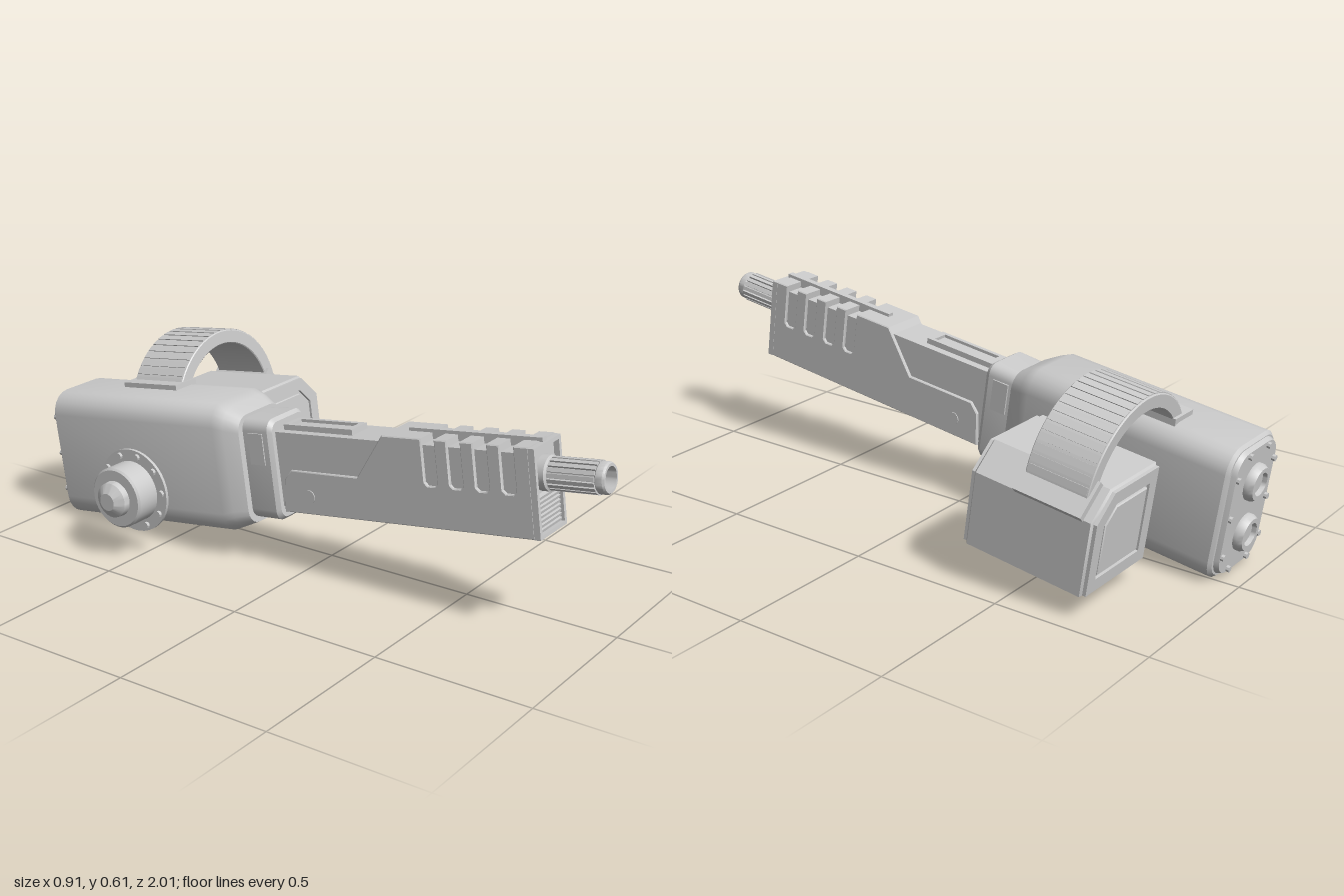
import * as THREE from 'three';
import { toCreasedNormals } from 'three/addons/utils/BufferGeometryUtils.js';

const CX = -0.0975; // centre line of the main body
const material = new THREE.MeshStandardMaterial({ color: 0xcccccc, side: THREE.DoubleSide });

function add(parent, name, geometry, x = 0, y = 0, z = 0) {
  const mesh = new THREE.Mesh(toCreasedNormals(geometry, 0.6), material);
  mesh.name = name;
  mesh.position.set(x, y, z);
  parent.add(mesh);
  return mesh;
}

const box = (parent, name, w, h, d, x, y, z) => add(parent, name, new THREE.BoxGeometry(w, h, d), x, y, z);

const polygon = (points) => new THREE.Shape(points.map((p) => new THREE.Vector2(...p)));

const extrude = (shape, depth, bevel = 0) => new THREE.ExtrudeGeometry(shape, {
  depth, bevelEnabled: bevel > 0, bevelSize: bevel, bevelThickness: bevel, bevelOffset: -bevel, bevelSegments: 1, curveSegments: 28,
});

// Outline drawn in (z, y), extruded across x and centred on it
const sideExtrude = (points, width, bevel = 0) =>
  extrude(polygon(points), width - 2 * bevel, bevel).rotateY(-Math.PI / 2).translate(width / 2 - bevel, 0, 0);

// Points of a rounded rectangle, counter-clockwise
function roundedRing(hw, y0, y1, r, steps = 5) {
  const ring = [];
  const corners = [[hw - r, y1 - r], [r - hw, y1 - r], [r - hw, y0 + r], [hw - r, y0 + r]];
  corners.forEach(([x, y], k) => {
    for (let i = 0; i <= steps; i++) {
      const a = (k + i / steps) * Math.PI / 2;
      ring.push([x + r * Math.cos(a), y + r * Math.sin(a)]);
    }
  });
  return ring;
}

// Closed skin through sections [z, halfWidth, y0, y1, radius], ordered by rising z
function loft(sections) {
  const rings = sections.map(([z, ...s]) => roundedRing(...s).map(([x, y]) => [x, y, z]));
  const n = rings[0].length;
  const pos = rings.flat(2);
  const index = [];
  for (let i = 0; i < rings.length - 1; i++) {
    for (let j = 0; j < n; j++) {
      const a = i * n + j, b = i * n + (j + 1) % n;
      index.push(a, b, b + n, a, b + n, a + n);
    }
  }
  const last = (rings.length - 1) * n;
  for (let j = 1; j < n - 1; j++) index.push(0, j + 1, j, last, last + j, last + j + 1);
  const g = new THREE.BufferGeometry();
  g.setAttribute('position', new THREE.Float32BufferAttribute(pos, 3));
  g.setIndex(index);
  return g;
}

const lathe = (points, sides = 32) => new THREE.LatheGeometry(points.map((p) => new THREE.Vector2(...p)), sides);

function buildReceiver(g) {
  add(g, 'receiver', loft([
    [-0.91, 0.132, 0.133, 0.538, 0.065], [-0.9, 0.141, 0.124, 0.547, 0.07],
    [-0.225, 0.141, 0.126, 0.547, 0.07], [-0.19, 0.13, 0.138, 0.532, 0.066],
    [-0.145, 0.11, 0.155, 0.505, 0.05],
  ]), CX);
  add(g, 'collar', loft([
    [-0.15, 0.088, 0.172, 0.495, 0.035], [-0.048, 0.092, 0.172, 0.497, 0.035], [-0.034, 0.083, 0.182, 0.487, 0.03],
  ]), CX);
  for (const s of [-1, 1]) box(g, 'collarWindow', 0.008, 0.1, 0.055, CX + s * 0.091, 0.405, -0.095);

  // Bolted end plate with two ringed ports
  add(g, 'endPlate', loft([[-0.925, 0.118, 0.142, 0.53, 0.06], [-0.905, 0.125, 0.135, 0.537, 0.063]]), CX);
  const bolts = [];
  for (const y of [0.21, 0.335, 0.46]) bolts.push([-0.107, y], [0.107, y]);
  for (const y of [0.153, 0.518]) bolts.push([-0.055, y], [0.055, y]);
  bolts.forEach(([x, y]) => add(g, 'plateBolt', new THREE.CylinderGeometry(0.01, 0.01, 0.014, 8).rotateX(Math.PI / 2), CX + x, y, -0.928));
  for (const y of [0.255, 0.42]) {
    add(g, 'rearPort', lathe([[0.058, 0], [0.058, 0.014], [0.05, 0.028], [0.036, 0.028], [0.034, 0.014], [0, 0.014]])
      .rotateX(-Math.PI / 2), CX, y, -0.924);
  }
}

function buildBarrelHousing(g) {
  // Side profile, with four cooling slots cut into the top edge
  const top = 0.477;
  const outline = [[-0.025, 0.205], [0.85, 0.208], [0.85, top]];
  for (const z of [0.78, 0.694, 0.608, 0.522]) {
    outline.push([z + 0.022, top], [z + 0.022, 0.345], [z + 0.012, 0.335], [z - 0.012, 0.335], [z - 0.022, 0.345], [z - 0.022, top]);
  }
  outline.push([0.365, top], [0.262, 0.34], [0.016, 0.341], [-0.012, 0.31]);
  add(g, 'barrelHousing', sideExtrude(outline, 0.156, 0.003), CX);
  add(g, 'innerCore', sideExtrude([[-0.04, 0.22], [0.84, 0.22], [0.84, 0.455], [-0.04, 0.458]], 0.136), CX);
  box(g, 'topRib', 0.022, 0.03, 0.44, CX, 0.472, 0.64);

  // Raised cover on top of the rear half
  const cover = polygon([[-0.04, -0.235], [0.04, -0.235], [0.04, 0.02], [-0.04, 0.02]]);
  cover.holes.push(polygon([[-0.026, -0.215], [-0.026, 0], [0.026, 0], [0.026, -0.215]]));
  add(g, 'topCover', extrude(cover, 0.025).rotateX(-Math.PI / 2), CX, 0.45, 0);
  box(g, 'topCoverPanel', 0.053, 0.015, 0.22, CX, 0.458, 0.107);
  for (const s of [-1, 1]) {
    add(g, 'pivotPin', new THREE.CylinderGeometry(0.022, 0.022, 0.006, 20).rotateZ(Math.PI / 2), CX + s * 0.078, 0.262, 0.076);
  }

  // Framed front face with louvres
  const frame = polygon([[-0.078, 0.208], [0.078, 0.208], [0.078, 0.474], [-0.078, 0.474]]);
  frame.holes.push(polygon([[-0.066, 0.22], [-0.066, 0.462], [0.066, 0.462], [0.066, 0.22]]));
  add(g, 'frontFrame', extrude(frame, 0.02), CX, 0, 0.848);
  for (let i = 0; i < 8; i++) {
    const louvre = box(g, 'louvre', 0.122, 0.009, 0.014, CX, 0.23 + i * 0.0135, 0.855);
    louvre.rotation.x = 0.3;
  }
}

function buildMuzzle(g) {
  const muzzle = new THREE.Group();
  muzzle.name = 'muzzle';
  muzzle.position.set(CX, 0.383, 0.85);
  g.add(muzzle);
  add(muzzle, 'muzzleTube', lathe([
    [0.052, 0], [0.052, 0.025], [0.042, 0.03], [0.042, 0.175], [0.046, 0.18], [0.046, 0.2], [0.042, 0.206],
    [0.034, 0.206], [0.032, 0.06], [0, 0.06],
  ]).rotateX(Math.PI / 2));
  for (let i = 0; i < 18; i++) {
    const a = i / 18 * Math.PI * 2;
    const flute = box(muzzle, 'muzzleFlute', 0.012, 0.008, 0.145, -Math.sin(a) * 0.045, Math.cos(a) * 0.045, 0.105);
    flute.rotation.z = a;
  }
}

function buildSideBox(g) {
  // Outline with one cut corner, inset evenly by d
  const ring = (d) => {
    const k = d * 0.414;
    return [[0.13 + d, 0.174 + d], [0.445 - d, 0.174 + d], [0.445 - d, 0.405 - k], [0.368 - k, 0.482 - d], [0.13 + d, 0.482 - d]];
  };
  add(g, 'sideBox', extrude(polygon(ring(0)), 0.385, 0.008), 0, 0, -0.725);
  for (const z of [-0.742, -0.34]) {
    const rim = polygon(ring(0.006));
    rim.holes.push(polygon(ring(0.045).reverse()));
    add(g, 'boxRim', extrude(rim, 0.016), 0, 0, z);
    add(g, 'boxPanel', extrude(polygon(ring(0.055)), 0.01, 0.003), 0, 0, z + 0.003);
  }
}

function buildArch(g) {
  // Curved feed band from the receiver over to the side box
  const shape = new THREE.Shape();
  const a0 = 0.1, a1 = Math.PI - 0.46;
  shape.absarc(0.165, 0.42, 0.26, a0, a1, false);
  shape.absarc(0.165, 0.42, 0.215, a1, a0, true);
  add(g, 'feedBand', extrude(shape, 0.2, 0.003), 0, 0, -0.688);
  for (let i = 1; i < 22; i++) {
    const a = a0 + (a1 - a0) * i / 22;
    const rib = box(g, 'bandRib', 0.006, 0.022, 0.196, 0.165 + Math.cos(a) * 0.2595, 0.42 + Math.sin(a) * 0.2595, -0.588);
    rib.rotation.z = a;
  }
  box(g, 'receiverFoot', 0.1, 0.03, 0.225, -0.048, 0.548, -0.588);
  const foot = box(g, 'boxFoot', 0.115, 0.035, 0.225, 0.41, 0.446, -0.588);
  foot.rotation.z = -Math.PI / 4;
}

function buildKnob(g) {
  const knob = new THREE.Group();
  knob.name = 'sideKnob';
  knob.position.set(-0.316, 0.278, -0.507);
  knob.rotation.z = Math.PI / 2;
  g.add(knob);
  add(knob, 'knobFlange', new THREE.CylinderGeometry(0.136, 0.136, 0.01, 40), 0, 0.005, 0);
  add(knob, 'knobBody', lathe([
    [0.098, 0.01], [0.098, 0.088], [0.092, 0.094], [0.058, 0.094], [0.056, 0.115], [0.028, 0.135], [0, 0.135],
  ], 40), 0, 0, 0);
  for (let i = 0; i < 10; i++) {
    const a = (i + 0.5) / 10 * Math.PI * 2;
    add(knob, 'flangeBolt', new THREE.CylinderGeometry(0.011, 0.011, 0.012, 8), Math.cos(a) * 0.118, 0.014, Math.sin(a) * 0.118);
  }
}

export function createModel() {
  const model = new THREE.Group();
  model.name = 'model';
  // The whole assembly is tilted with its front end up
  const body = new THREE.Group();
  body.name = 'blaster';
  body.rotation.x = -0.135;
  model.add(body);
  buildReceiver(body);
  buildBarrelHousing(body);
  buildMuzzle(body);
  buildSideBox(body);
  buildArch(body);
  buildKnob(body);
  return model;
}
